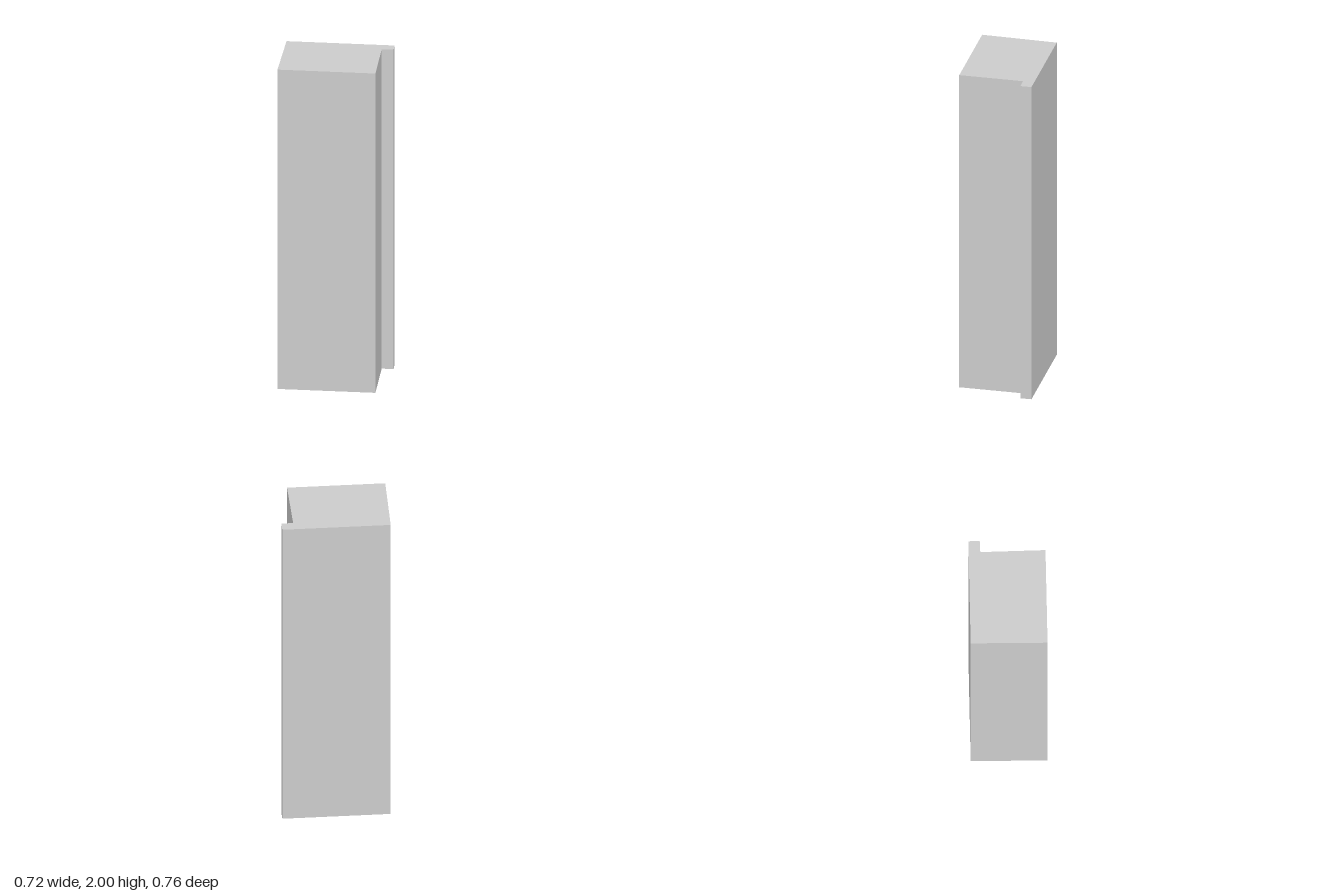
import * as THREE from 'three';

// Plan outline as [x, z] corners: a rotated rectangle with a thin fin at the back
const OUTLINE = [
  [-0.359, 0.06],
  [-0.049, 0.382],
  [0.359, -0.02],
  [0.09, -0.287],
  [0.138, -0.337],
  [0.091, -0.383],
];
const HEIGHT = 2;

export function createModel() {
  const group = new THREE.Group();
  group.name = 'pillar';

  // Shape y is -z, so that laying the extrusion upright restores z
  const plan = new THREE.Shape(OUTLINE.map(([x, z]) => new THREE.Vector2(x, -z)));
  const geometry = new THREE.ExtrudeGeometry(plan, { depth: HEIGHT, bevelEnabled: false });
  geometry.rotateX(-Math.PI / 2);

  // Solid column with its full-height fin
  const column = new THREE.Mesh(
    geometry,
    new THREE.MeshStandardMaterial({ color: 0xcccccc, flatShading: true })
  );
  column.name = 'finnedColumn';
  group.add(column);
  return group;
}
